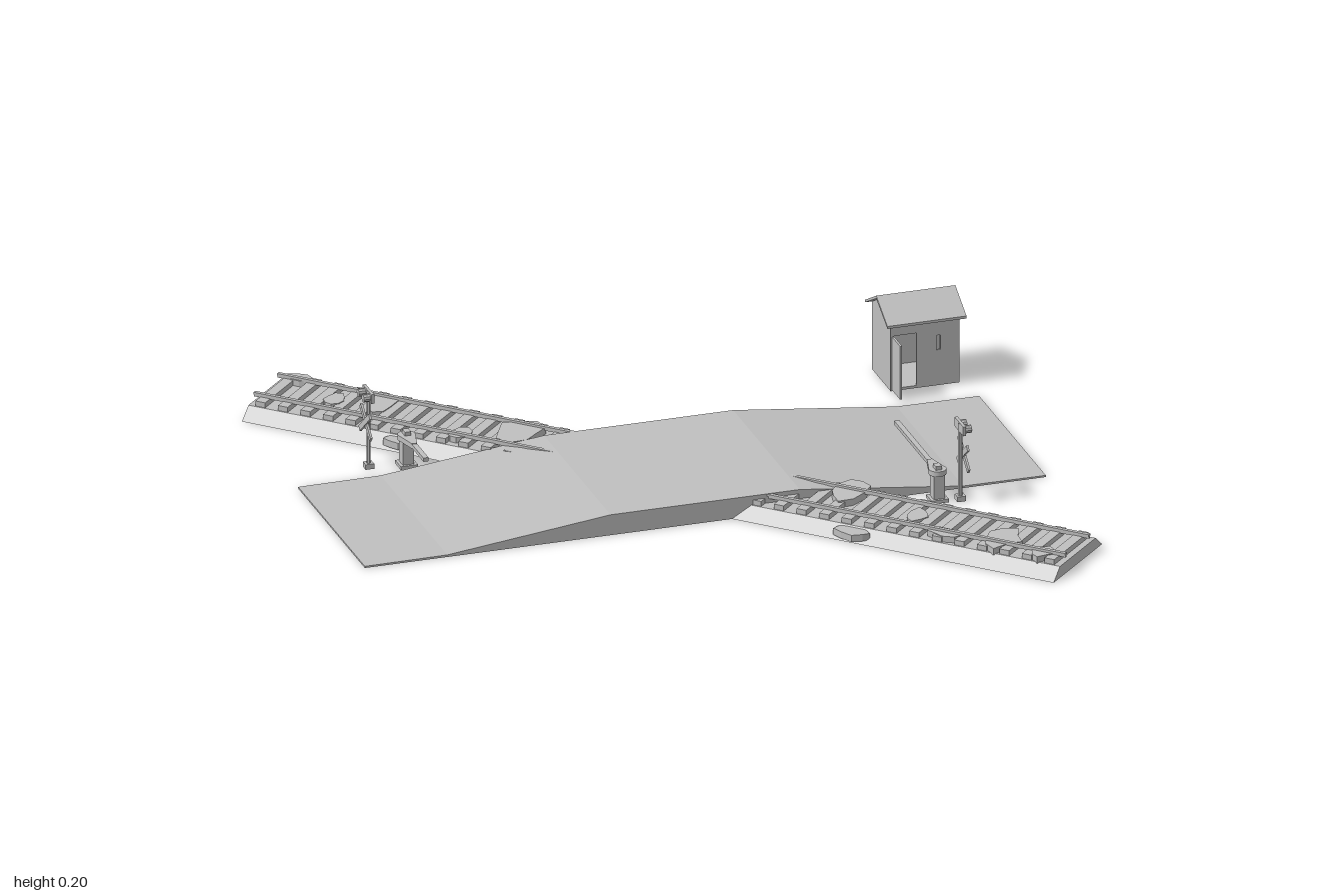
import * as THREE from 'three';

const grey = new THREE.MeshStandardMaterial({ color: 0xbfbfbf, flatShading: true, side: THREE.DoubleSide });
grey.name = 'plain grey';

function add(parent, name, geometry, x = 0, y = 0, z = 0) {
  const mesh = new THREE.Mesh(geometry, grey);
  mesh.name = name;
  mesh.position.set(x, y, z);
  parent.add(mesh);
  return mesh;
}

const box = (w, h, d) => new THREE.BoxGeometry(w, h, d);

function polygon(points) {
  return new THREE.Shape(points.map(([x, y]) => new THREE.Vector2(x, y)));
}

// Extrusion of an xy outline, centred along z
function slab(shape, depth) {
  return new THREE.ExtrudeGeometry(shape, { depth, bevelEnabled: false }).translate(0, 0, -depth / 2);
}

function seeded(seed) {
  return () => (seed = (seed * 16807) % 2147483647) / 2147483647;
}

function makeTrack() {
  const track = new THREE.Group();
  track.name = 'railwayTrack';
  track.position.z = 0.08;

  // Ballast bed, trapezoid section along x
  const bed = slab(polygon([[-0.12, 0], [0.12, 0], [0.088, 0.027], [-0.088, 0.027]]), 2);
  add(track, 'ballastBed', bed.rotateY(Math.PI / 2));

  const count = 36;
  for (let i = 0; i < count; i++) {
    add(track, 'sleeper', box(0.024, 0.013, 0.17), -1 + (i + 0.5) * (2 / count), 0.0325, 0);
  }
  for (const side of [-1, 1]) {
    add(track, 'railHead', box(2, 0.005, 0.009), 0, 0.0455, side * 0.058);
    add(track, 'railWeb', box(2, 0.006, 0.004), 0, 0.0405, side * 0.058);
  }

  // Loose irregular patches lying over the sleepers: x, z, half sizes, top height
  const random = seeded(71);
  const patches = [
    [-0.95, -0.07, 0.035, 0.022, 0.041], [-0.83, 0, 0.024, 0.03, 0.041], [-0.73, -0.02, 0.035, 0.055, 0.041],
    [-0.5, 0.045, 0.028, 0.033, 0.041], [-0.62, 0.105, 0.036, 0.02, 0.024], [-0.385, -0.02, 0.05, 0.06, 0.043],
    [0.41, -0.05, 0.04, 0.06, 0.043], [0.605, 0, 0.026, 0.04, 0.041], [0.7, 0.06, 0.04, 0.022, 0.041],
    [0.83, 0.03, 0.042, 0.055, 0.041], [0.94, 0.06, 0.028, 0.03, 0.041], [0.5, 0.105, 0.042, 0.024, 0.024]
  ];
  for (const [x, z, rx, rz, top] of patches) {
    const outline = [];
    for (let i = 0; i < 9; i++) {
      const a = (i / 9) * Math.PI * 2;
      const r = 0.7 + random() * 0.5;
      outline.push([Math.cos(a) * r * rx, Math.sin(a) * r * rz]);
    }
    add(track, 'loosePatch', slab(polygon(outline), 0.016).rotateX(-Math.PI / 2), x, top - 0.008, z);
  }
  return track;
}

// Crossed warning boards with a lamp box; the face looks along +x
function makeSign() {
  const sign = new THREE.Group();
  sign.name = 'crossingSign';
  add(sign, 'signFoot', box(0.02, 0.012, 0.02), 0, 0.006, 0);
  add(sign, 'signPost', new THREE.CylinderGeometry(0.005, 0.005, 0.185, 8), 0, 0.0925, 0);
  for (const side of [-1, 1]) {
    const board = add(sign, 'crossBoard', box(0.005, 0.013, 0.09), 0.007 + side * 0.001, 0.11, 0);
    board.rotation.x = side * 0.68;
    const lamp = new THREE.CylinderGeometry(0.009, 0.009, 0.018, 10).rotateZ(Math.PI / 2);
    add(sign, 'warningLamp', lamp, 0.01, 0.176, side * 0.017);
  }
  add(sign, 'lampPanel', box(0.007, 0.022, 0.06), 0, 0.177, 0);
  return sign;
}

// Barrier whose arm reaches along -z
function makeBarrier(armLength) {
  const barrier = new THREE.Group();
  barrier.name = 'barrier';
  add(barrier, 'barrierBase', box(0.04, 0.008, 0.04), 0, 0.004, 0);
  add(barrier, 'barrierCabinet', box(0.026, 0.062, 0.028), 0, 0.036, 0);
  add(barrier, 'barrierCap', box(0.014, 0.018, 0.02), 0, 0.076, 0);

  // Counterweight paddle, round at the back and tapering into the arm
  const paddle = new THREE.Shape();
  paddle.moveTo(-0.02, 0);
  paddle.absarc(0, 0, 0.02, Math.PI, 0, true);
  paddle.lineTo(0.006, -0.055);
  paddle.lineTo(-0.006, -0.055);
  paddle.closePath();
  add(barrier, 'counterweight', slab(paddle, 0.012).rotateX(Math.PI / 2), 0, 0.07, 0);
  add(barrier, 'barrierArm', box(0.012, 0.009, armLength), 0, 0.07, -armLength / 2);
  return barrier;
}

function makeHut() {
  const hut = new THREE.Group();
  hut.name = 'crossingHut';
  hut.position.set(0.217, 0, -0.69);
  hut.rotation.y = Math.PI / 4;
  const L = 0.16, W = 0.13, H = 0.163, T = 0.005;

  add(hut, 'hutFloor', box(L, 0.006, W), 0, 0.003, 0);
  add(hut, 'backWall', box(L, H, T), 0, H / 2, -W / 2 + T / 2);

  // Front wall with doorway at the corner and a narrow window
  const front = polygon([[-L / 2, 0], [-0.072, 0], [-0.072, 0.132], [-0.02, 0.132], [-0.02, 0],
    [L / 2, 0], [L / 2, H], [-L / 2, H]]);
  front.holes.push(polygon([[0.026, 0.085], [0.026, 0.12], [0.036, 0.12], [0.036, 0.085]]));
  add(hut, 'frontWall', slab(front, T), 0, 0, W / 2 - T / 2);

  // Gable walls
  const gable = polygon([[-W / 2, 0], [W / 2, 0], [W / 2, H], [0, 0.198], [-W / 2, H]]);
  for (const side of [-1, 1]) {
    add(hut, 'gableWall', slab(gable, T).rotateY(Math.PI / 2), side * (L / 2 - T / 2), 0, 0);
  }

  // Door standing open at a right angle
  add(hut, 'openDoor', box(0.005, 0.128, 0.054), -0.074, 0.066, W / 2 + 0.027);

  // Pitched roof with overhang
  const roof = polygon([[-0.078, 0.157], [0, 0.198], [0.078, 0.157], [0.078, 0.163], [0, 0.205], [-0.078, 0.163]]);
  add(hut, 'roof', slab(roof, 0.184).rotateY(Math.PI / 2));
  return hut;
}

export function createModel() {
  const model = new THREE.Group();
  model.name = 'levelCrossing';
  model.add(makeTrack());

  // Road crosses the track diagonally; its furniture shares the turned frame
  const road = new THREE.Group();
  road.name = 'roadCrossing';
  road.position.z = 0.08;
  road.rotation.y = Math.PI / 4;
  const profile = polygon([[-0.792, 0], [0.792, 0], [0.792, 0.004], [0.6, 0.005], [0.22, 0.049],
    [-0.22, 0.049], [-0.6, 0.005], [-0.792, 0.004]]);
  add(road, 'roadRamp', slab(profile, 0.463));

  // One sign and barrier on each approach, the near barrier cut short
  for (const [side, signX, armLength] of [[1, 0.573, 0.283], [-1, 0.608, 0.135]]) {
    const approach = new THREE.Group();
    approach.name = 'approach';
    approach.rotation.y = side > 0 ? 0 : Math.PI;
    const sign = makeSign();
    sign.position.set(signX, 0, 0.292);
    const barrier = makeBarrier(armLength);
    barrier.position.set(0.525, 0, 0.276);
    approach.add(sign, barrier);
    road.add(approach);
  }
  model.add(road, makeHut());
  return model;
}
